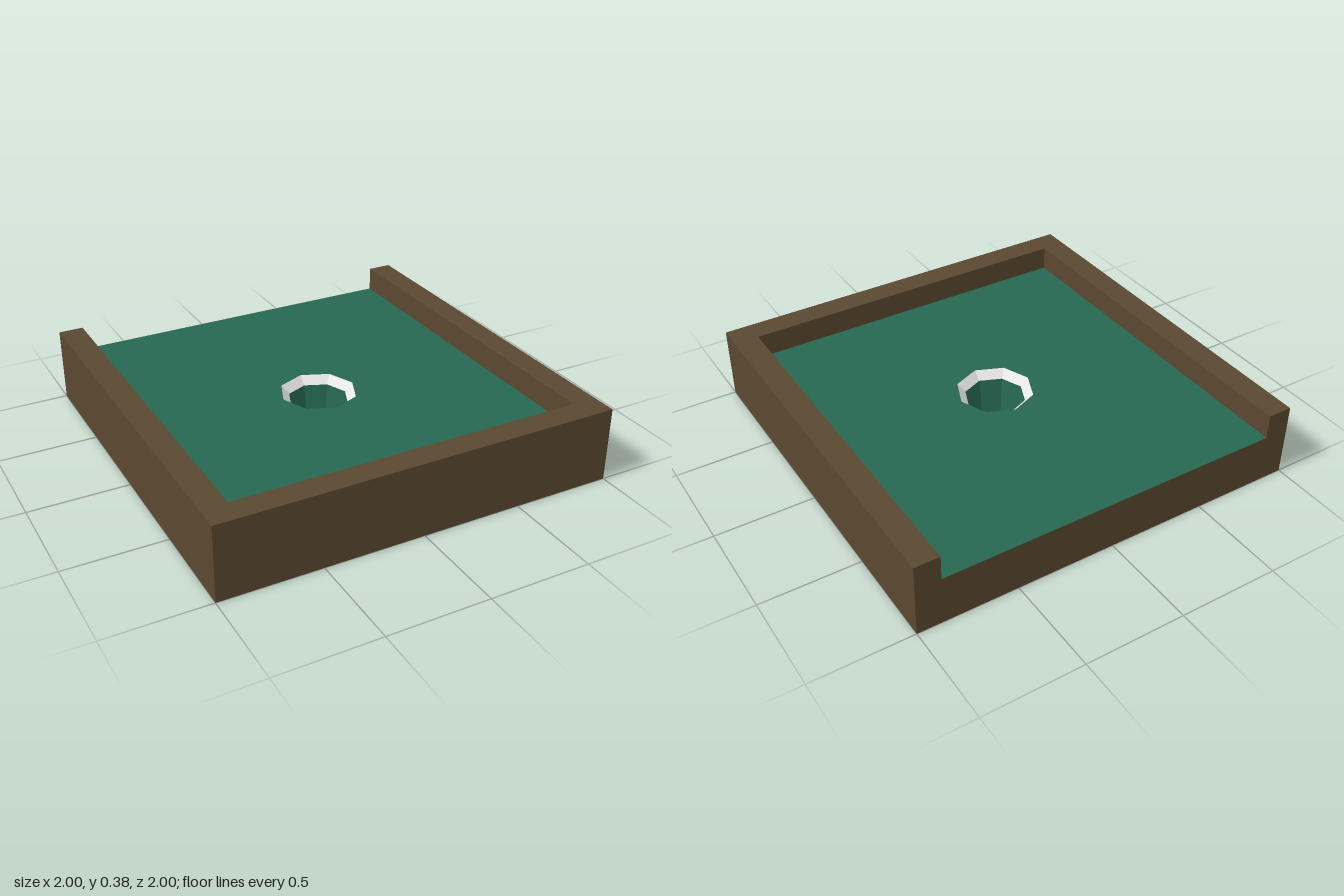
import * as THREE from 'three';

const FLOOR = 0.25, TOP = 0.375, INNER = 0.875;
const RIM_R = 0.193, THROAT_R = 0.152, HOLE_R = 0.122, RIM_Y = 0.21;

const polygon = pts => pts.map(([x, y]) => new THREE.Vector2(x, y));

// Eight-sided outline with corners on the axes
function octagon(r) {
  return Array.from({ length: 8 }, (_, i) =>
    new THREE.Vector2(Math.cos(i * Math.PI / 4) * r, Math.sin(i * Math.PI / 4) * r));
}

// Flat panel in the XY plane with an octagonal hole
function holedPanel(halfWidth, y0, y1, r) {
  const shape = new THREE.Shape(polygon([
    [-halfWidth, y0], [halfWidth, y0], [halfWidth, y1], [-halfWidth, y1]]));
  shape.holes.push(new THREE.Path(octagon(r)));
  return new THREE.ShapeGeometry(shape);
}

function faceted(geometry) {
  const g = geometry.toNonIndexed();
  g.computeVertexNormals();
  return g;
}

export function createModel() {
  const wood = new THREE.MeshStandardMaterial({ color: 0x5b4930 });
  const green = new THREE.MeshStandardMaterial({ color: 0x266852 });
  const white = new THREE.MeshStandardMaterial({ color: 0xe8e8e8 });
  wood.name = 'brown wood';
  green.name = 'green felt';
  white.name = 'white rim';

  const model = new THREE.Group();
  model.name = 'holedTray';
  const add = (name, geometry, material) => {
    const mesh = new THREE.Mesh(geometry, material);
    mesh.name = name;
    model.add(mesh);
  };

  // Raised wall on three sides, open at the back
  const wall = new THREE.Shape(polygon([
    [-1, -1], [1, -1], [1, 1], [INNER, 1], [INNER, -INNER],
    [-INNER, -INNER], [-INNER, 1], [-1, 1]]));
  add('wall', new THREE.ExtrudeGeometry(wall, { depth: TOP - FLOOR, bevelEnabled: false })
    .rotateX(-Math.PI / 2).translate(0, FLOOR, 0), wood);

  // Square sides and underside of the base
  add('baseSides', faceted(
    new THREE.CylinderGeometry(Math.SQRT2, Math.SQRT2, FLOOR, 4, 1, true, Math.PI / 4)
      .translate(0, FLOOR / 2, 0)), wood);
  add('underside', holedPanel(1, -1, 1, HOLE_R).rotateX(Math.PI / 2), wood);

  // Playing surface, reaching the back edge
  add('floor', holedPanel(INNER, -INNER, 1, RIM_R)
    .rotateX(-Math.PI / 2).translate(0, FLOOR, 0), green);

  // Funnel hole: bevelled rim above a tapering throat, facing inward
  const funnel = pts => faceted(new THREE.LatheGeometry(polygon(pts), 8));
  add('holeRim', funnel([[RIM_R, FLOOR], [THROAT_R, RIM_Y]]), white);
  add('holeThroat', funnel([[THROAT_R, RIM_Y], [HOLE_R, 0]]), green);

  return model;
}
